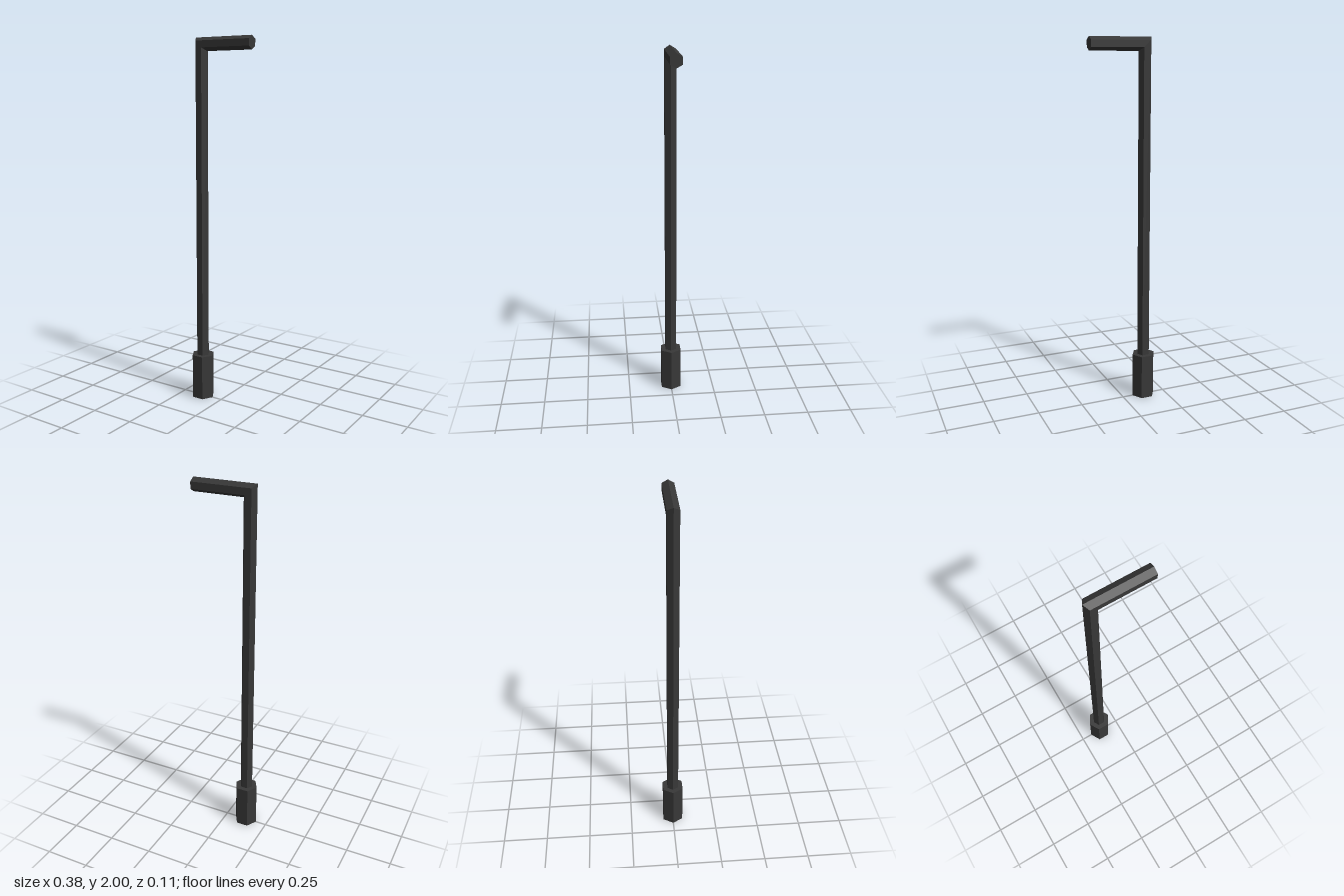
import * as THREE from 'three';

export function createModel() {
  const group = new THREE.Group();
  group.name = 'hexKey';
  const darkSteel = new THREE.MeshStandardMaterial({ color: 0x383838 });
  darkSteel.name = 'darkSteel';

  const axisX = -0.123, baseTop = 0.25, r = 0.036, armEnd = 0.187, armY = 2 - r;

  // Hexagonal prism with corners on the x axis and crisp faces
  const hexPrism = (radius, height, rows) =>
    new THREE.CylinderGeometry(radius, radius, height, 6, rows, false, Math.PI / 2);

  const add = (name, geometry) => {
    const flat = geometry.toNonIndexed();
    flat.computeVertexNormals();
    const mesh = new THREE.Mesh(flat, darkSteel);
    mesh.name = name;
    group.add(mesh);
  };

  // Thick hexagonal socket at the foot
  add('socket', hexPrism(0.065, baseTop, 1).translate(axisX, baseTop / 2, 0));

  // Shaft and arm: one hexagonal bar bent at a 45 degree mitre
  const bar = hexPrism(r, 2, 2);
  const p = bar.attributes.position;
  for (let i = 0; i < p.count; i++) {
    const x = p.getX(i), row = Math.round(p.getY(i));
    if (row < 0) p.setXYZ(i, axisX + x, baseTop, p.getZ(i));
    else if (row === 0) p.setXYZ(i, axisX + x, armY - x, p.getZ(i));
    else p.setXYZ(i, armEnd, armY - x, p.getZ(i));
  }
  add('shaftAndArm', bar);

  return group;
}
